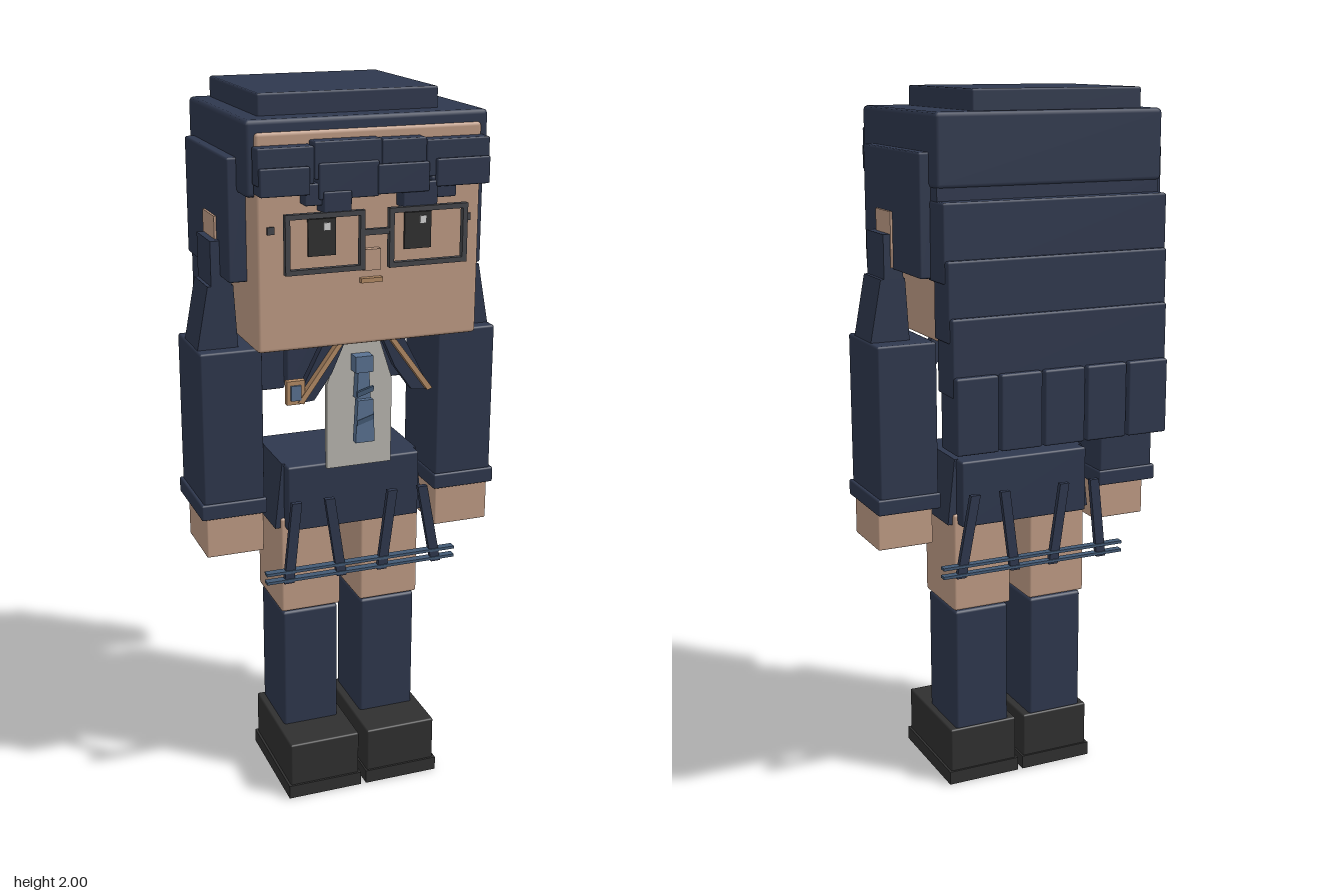
import * as THREE from 'three';
import { RoundedBoxGeometry } from 'three/addons/geometries/RoundedBoxGeometry.js';

const mat = (name, color) => {
  const m = new THREE.MeshStandardMaterial({ color });
  m.name = name;
  return m;
};

export function createModel() {
  const root = new THREE.Group();
  root.name = 'schoolFigure';
  const navy = mat('navy', 0x2f384e), skin = mat('skin', 0xc19d86), shirt = mat('shirtGrey', 0xbab8b1);
  const shoe = mat('shoeBlack', 0x303030), tie = mat('tieBlue', 0x5a7393), stripe = mat('stripeBlue', 0x435a75);
  const frame = mat('frameGrey', 0x45464b), white = mat('highlight', 0xd8d8d8), tan = mat('trimTan', 0xb58c66);

  const add = (name, geo, m, parent = root) => {
    const mesh = new THREE.Mesh(geo, m);
    mesh.name = name;
    parent.add(mesh);
    return mesh;
  };
  // Box from its extents; r > 0 gives a small bevel
  const box = (name, m, x0, x1, y0, y1, z0, z1, r = 0, parent = root) => {
    const w = x1 - x0, h = y1 - y0, d = z1 - z0;
    const geo = r ? new RoundedBoxGeometry(w, h, d, 1, r) : new THREE.BoxGeometry(w, h, d);
    const mesh = add(name, geo, m, parent);
    mesh.position.set((x0 + x1) / 2, (y0 + y1) / 2, (z0 + z1) / 2);
    return mesh;
  };
  // Mirrored pair of boxes
  const pair = (name, m, x0, x1, ...rest) => {
    box(name + 'Left', m, x0, x1, ...rest);
    box(name + 'Right', m, -x1, -x0, ...rest);
  };
  // Flat outline given thickness between z0 and z1
  const plate = (name, m, pts, z0, z1, parent = root) => {
    const s = new THREE.Shape(pts.map(p => new THREE.Vector2(...p)));
    const mesh = add(name, new THREE.ExtrudeGeometry(s, { depth: z1 - z0, bevelEnabled: false }), m, parent);
    mesh.position.z = z0;
    return mesh;
  };

  // Legs
  pair('shoe', shoe, 0.013, 0.222, 0.03, 0.17, -0.066, 0.258, 0.005);
  pair('sole', shoe, 0.008, 0.229, 0, 0.04, -0.072, 0.264);
  pair('sock', navy, 0.036, 0.202, 0.16, 0.535, -0.06, 0.139, 0.008);
  pair('leg', skin, 0.03, 0.208, 0.54, 0.83, -0.067, 0.146, 0.008);

  // Skirt with hanging pleats and hem stripes
  box('skirtCore', navy, -0.195, 0.195, 0.80, 0.99, -0.10, 0.175, 0.006);
  plate('skirtFlare', navy, [[-0.2, 0.99], [-0.222, 0.8], [0.222, 0.8], [0.2, 0.99]], -0.06, 0.14);
  for (const [side, z] of [['front', 0.232], ['back', -0.155]]) {
    for (const [xt, xb] of [[-0.19, -0.215], [-0.095, -0.06], [0.09, 0.06], [0.18, 0.225]]) {
      const w = 0.014;
      plate(side + 'Pleat', navy, [[xt - w, 0.91], [xb - w, 0.675], [xb + w, 0.675], [xt + w, 0.91]], z - 0.007, z + 0.008);
    }
    for (const y of [0.685, 0.71])
      box(side + 'HemStripe', stripe, -0.28, 0.28, y - 0.004, y + 0.004, z - 0.011, z + 0.011);
  }

  // Arms
  pair('sleeve', navy, 0.255, 0.427, 0.88, 1.33, -0.075, 0.153, 0.006);
  pair('cuff', navy, 0.25, 0.436, 0.86, 0.905, -0.081, 0.16, 0.005);
  pair('hand', skin, 0.258, 0.422, 0.745, 0.87, -0.036, 0.15, 0.005);
  for (const s of [1, -1]) {
    const pts = [[0.31, 1.33], [0.422, 1.33], [0.39, 1.5], [0.32, 1.5]].map(([x, y]) => [s * x, y]);
    plate('shoulderSlope', navy, pts, -0.015, 0.115);
  }
  pair('sideLock', navy, 0.325, 0.38, 1.48, 1.62, -0.015, 0.115);

  // Shirt front, tie, lapels and badge
  plate('shirtFront', shirt, [[-0.095, 0.99], [0.092, 0.99], [0.092, 1.23], [0.05, 1.36], [-0.05, 1.36], [-0.095, 1.23]], 0.2, 0.214);
  box('tieKnot', tie, -0.026, 0.024, 1.265, 1.31, 0.214, 0.25);
  plate('tieUpper', tie, [[-0.016, 1.27], [-0.02, 1.19], [0.02, 1.18], [0.015, 1.27]], 0.215, 0.243);
  plate('tieLower', tie, [[-0.022, 1.19], [-0.028, 1.07], [0.027, 1.07], [0.022, 1.19]], 0.235, 0.257);
  for (const y of [1.12, 1.2])
    plate('tieStripe', stripe, [[-0.024, y], [0.022, y + 0.014], [0.022, y + 0.028], [-0.024, y + 0.014]], 0.25, 0.259);
  for (const s of [1, -1]) {
    const flip = pts => pts.map(([x, y]) => [s * x, y]);
    plate('lapel', navy, flip([[0.05, 1.36], [0.11, 1.36], [0.195, 1.195], [0.14, 1.2], [0.09, 1.27]]), 0.215, 0.24);
    plate('lapelTrim', tan, flip([[0.062, 1.36], [0.078, 1.36], [0.192, 1.205], [0.178, 1.2]]), 0.24, 0.262);
  }
  box('badge', tan, -0.222, -0.172, 1.2, 1.265, 0.24, 0.258);
  box('badgeCentre', tie, -0.212, -0.184, 1.212, 1.253, 0.255, 0.264);

  // Head and ears
  box('head', skin, -0.306, 0.306, 1.355, 1.915, -0.2, 0.281, 0.01);
  pair('ear', skin, 0.29, 0.361, 1.53, 1.68, -0.02, 0.09);

  // Hair cap, side panels and layered back
  box('hairCrown', navy, -0.275, 0.216, 1.9, 2.0, -0.232, 0.203, 0.006);
  box('hairTop', navy, -0.329, 0.327, 1.755, 1.945, -0.255, 0.273, 0.012);
  pair('hairSide', navy, 0.295, 0.355, 1.525, 1.845, -0.21, 0.195, 0.006);
  box('hairBackUpper', navy, -0.32, 0.322, 1.52, 1.765, -0.25, -0.19);
  [[0.325, 1.52, 1.725, -0.292, -0.2], [0.32, 1.37, 1.58, -0.308, -0.215]].forEach(([w, y0, y1, z0, z1]) =>
    box('hairBackLayer', navy, -w, w, y0, y1, z0, z1, 0.006));
  box('hairBackLayer', navy, -0.315, 0.315, 1.23, 1.435, -0.323, -0.222, 0.006);
  for (let i = 0; i < 5; i++) {
    const x = -0.252 + i * 0.126;
    box('hairBackTip', navy, x - 0.06, x + 0.06, 1.08, 1.285, -0.341, -0.235, 0.006);
  }

  // Fringe blocks: x0, x1, y0, y1, front z
  [
    [-0.313, -0.165, 1.79, 1.883, 0.322], [-0.165, 0.014, 1.8, 1.893, 0.322],
    [0.014, 0.135, 1.8, 1.89, 0.322], [0.135, 0.31, 1.79, 1.883, 0.322],
    [-0.31, -0.18, 1.765, 1.835, 0.333], [-0.155, 0.005, 1.75, 1.84, 0.328],
    [0, 0.14, 1.755, 1.83, 0.333], [0.16, 0.308, 1.765, 1.835, 0.333],
    [-0.145, -0.07, 1.715, 1.77, 0.333], [0.07, 0.165, 1.715, 1.78, 0.328],
    [-0.19, -0.12, 1.735, 1.79, 0.32], [0.15, 0.22, 1.735, 1.79, 0.32],
  ].forEach(([x0, x1, y0, y1, z]) => box('fringe', navy, x0, x1, y0, y1, 0.276, z, 0.004));

  // Face
  for (const cx of [-0.134, 0.129]) {
    box('eye', shoe, cx - 0.037, cx + 0.037, 1.6, 1.695, 0.279, 0.288);
    box('eyeHighlight', white, cx + 0.004, cx + 0.022, 1.665, 1.685, 0.285, 0.292);
  }
  box('nose', skin, -0.025, 0.022, 1.555, 1.61, 0.279, 0.3);
  box('mouth', tan, -0.03, 0.03, 1.522, 1.534, 0.279, 0.297);

  // Glasses
  const glasses = new THREE.Group();
  glasses.name = 'glasses';
  root.add(glasses);
  for (const [x0, x1] of [[-0.248, -0.036], [0.03, 0.246]]) {
    const t = 0.013, y0 = 1.567, y1 = 1.72;
    const s = new THREE.Shape([[x0, y0], [x1, y0], [x1, y1], [x0, y1]].map(p => new THREE.Vector2(...p)));
    s.holes.push(new THREE.Path([[x0 + t, y0 + t], [x0 + t, y1 - t], [x1 - t, y1 - t], [x1 - t, y0 + t]].map(p => new THREE.Vector2(...p))));
    add('lensFrame', new THREE.ExtrudeGeometry(s, { depth: 0.017, bevelEnabled: false }), frame, glasses).position.z = 0.321;
  }
  box('bridge', frame, -0.04, 0.034, 1.655, 1.67, 0.322, 0.337, 0, glasses);
  pair('hinge', frame, 0.26, 0.278, 1.663, 1.682, 0.279, 0.287);

  return root;
}
